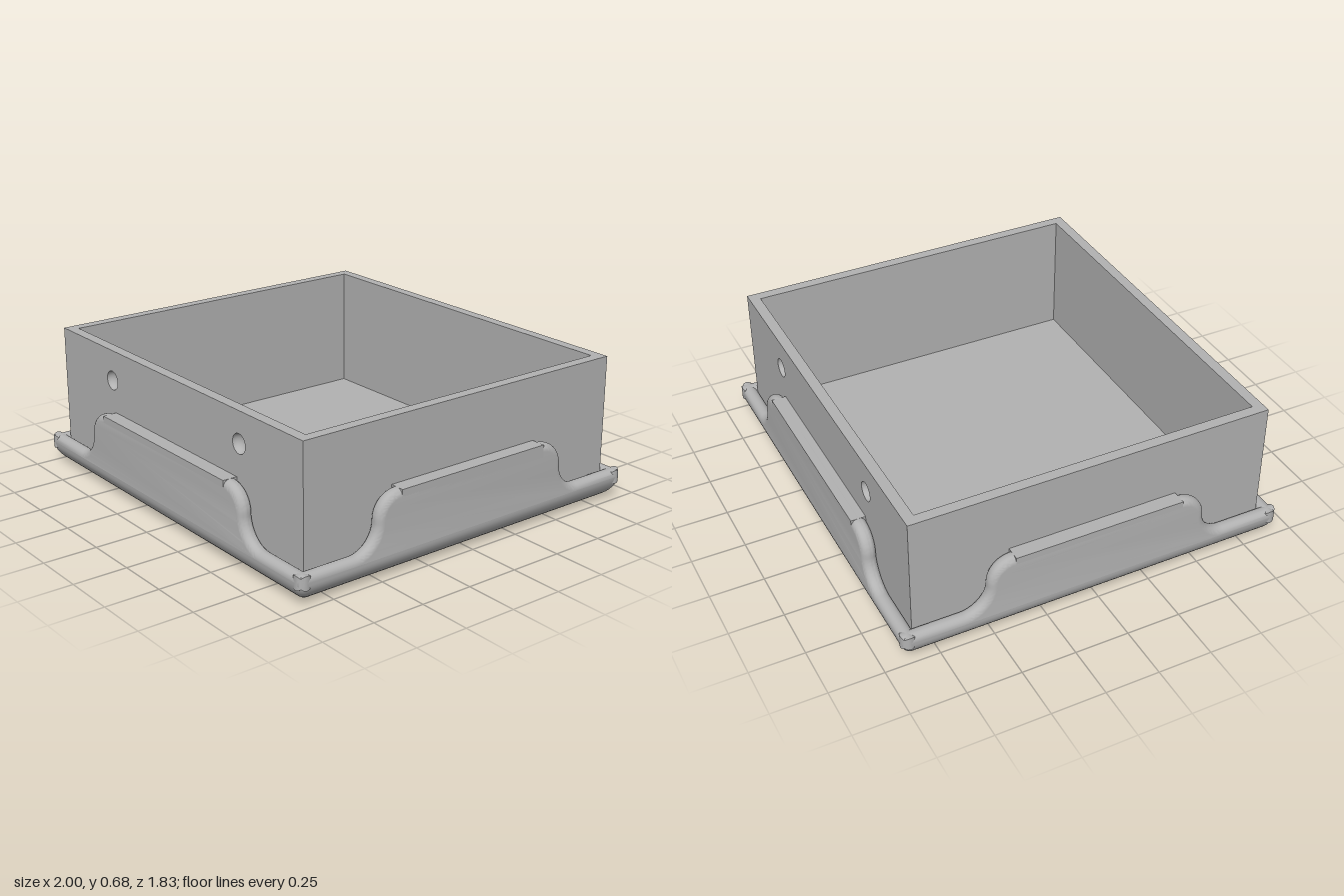
import * as THREE from 'three';
import { toCreasedNormals } from 'three/addons/utils/BufferGeometryUtils.js';

const HX = 1, HZ = 0.915;          // outer half sizes of the tray
const T = 0.068, R = 0.032;        // lip thickness and edge rounding
const BX = HX - T, BZ = HZ - T;    // outer half sizes of the box
const LOW = 0.14, HIGH = 0.38, TOP = 0.675, FLOOR = 0.09, RIM = LOW - R;

const grey = new THREE.MeshStandardMaterial({ color: 0xb2b2b2, side: THREE.DoubleSide });
grey.name = 'grey';

function add(parent, name, geometry) {
  const mesh = new THREE.Mesh(geometry, grey);
  mesh.name = name;
  parent.add(mesh);
  return mesh;
}

function block(parent, name, w, h, d, x, y, z) {
  add(parent, name, new THREE.BoxGeometry(w, h, d)).position.set(x, y, z);
}

// Rounded rectangle at height y, running around the vertical axis
function loop(hx, hz, r, y) {
  const pts = [], n = 6;
  [[1, 1], [-1, 1], [-1, -1], [1, -1]].forEach(([sx, sz], q) => {
    for (let i = 0; i <= n; i++) {
      const a = (q + i / n) * Math.PI / 2;
      pts.push([sx * (hx - r) + r * Math.cos(a), y, sz * (hz - r) + r * Math.sin(a)]);
    }
  });
  return pts;
}

// Tray: flat bottom, rounded lower edge, narrow rim on top
function trayGeometry() {
  const loops = [], steps = 12, inset = 0.12;
  for (let i = 0; i <= steps; i++) {
    const a = i / steps * Math.PI / 2, d = inset * (1 - Math.sin(a));
    loops.push(loop(HX - d, HZ - d, 0.01 + 0.025 * i / steps, RIM * (1 - Math.cos(a))));
  }
  loops.push(loop(BX - 0.02, BZ - 0.02, 0.01, RIM));
  const n = loops[0].length, index = [];
  for (let j = 0; j < loops.length - 1; j++) {
    for (let i = 0; i < n; i++) {
      const k = (i + 1) % n, a = j * n, b = a + n;
      index.push(a + i, b + i, a + k, a + k, b + i, b + k);
    }
  }
  const center = loops.length * n;
  for (let i = 0; i < n; i++) index.push(center, i, (i + 1) % n);
  const g = new THREE.BufferGeometry();
  g.setAttribute('position', new THREE.Float32BufferAttribute([...loops.flat(2), 0, 0, 0], 3));
  g.setIndex(index);
  return toCreasedNormals(g, 0.6);
}

// Lip: low round-edged rail rising in S curves to a flat-topped middle
function makeLip(name, half, out, flat) {
  const lip = new THREE.Group();
  lip.name = name;
  const r = (HIGH - LOW) / 2, mid = LOW + r, far = flat + 2 * r, P = Math.PI;
  const s = new THREE.Shape();
  s.moveTo(-half, LOW - 2 * R);
  s.lineTo(half, LOW - 2 * R);
  s.lineTo(half, LOW);
  s.lineTo(far, LOW);
  s.absarc(far, mid, r, -P / 2, -P, true);
  s.absarc(flat, mid, r, 0, P / 2, false);
  s.lineTo(-flat, HIGH);
  s.absarc(-flat, mid, r, P / 2, P, false);
  s.absarc(-far, mid, r, 0, -P / 2, true);
  s.lineTo(-half, LOW);
  s.closePath();
  const g = new THREE.ExtrudeGeometry(s, {
    depth: T - 2 * R, curveSegments: 12, bevelEnabled: true,
    bevelThickness: R, bevelSize: R, bevelOffset: -R, bevelSegments: 6,
  });
  g.translate(0, 0, out - T + R);
  add(lip, 'lipRail', toCreasedNormals(g, 0.6));
  block(lip, 'lipFlatTop', 2 * flat, 0.06, T, 0, HIGH - 0.03, out - T / 2);
  return lip;
}

// Long box wall with two round dimples on its outer face
function makeDimpledWall(name) {
  const wall = new THREE.Group();
  wall.name = name;
  const radius = 0.045, depth = 0.037, y = 0.53, bottom = 0.06;
  const s = new THREE.Shape();
  s.moveTo(-BX, bottom);
  s.lineTo(BX, bottom);
  s.lineTo(BX, TOP);
  s.lineTo(-BX, TOP);
  s.closePath();
  const profile = [];
  for (let i = 0; i <= 8; i++) {
    const a = i / 8 * Math.PI / 2;
    profile.push(new THREE.Vector2(radius * Math.cos(a), -depth * Math.sin(a)));
  }
  for (const x of [-0.5, 0.5]) {
    s.holes.push(new THREE.Path().absarc(x, y, radius, 0, Math.PI * 2, true));
    const dimple = add(wall, 'dimple', new THREE.LatheGeometry(profile, 24));
    dimple.rotation.x = Math.PI / 2;
    dimple.position.set(x, y, BZ);
  }
  const g = new THREE.ExtrudeGeometry(s, { depth: 0.04, bevelEnabled: false, curveSegments: 12 });
  add(wall, 'wallOuterLayer', g.translate(0, 0, BZ - 0.04));
  block(wall, 'wallInnerLayer', 2 * BX, TOP - bottom, 0.01, 0, (TOP + bottom) / 2, BZ - 0.045);
  return wall;
}

export function createModel() {
  const model = new THREE.Group();
  model.name = 'openBoxOnTray';
  add(model, 'tray', trayGeometry());
  block(model, 'boxFloor', 2 * BX - 0.06, 0.04, 2 * BZ - 0.06, 0, FLOOR - 0.02, 0);

  // Front and back
  for (const [side, angle] of [['front', 0], ['back', Math.PI]]) {
    const wall = makeDimpledWall(side + 'Wall');
    const lip = makeLip(side + 'Lip', HX, HZ, 0.48);
    wall.rotation.y = lip.rotation.y = angle;
    model.add(wall, lip);
  }

  // Left and right
  for (const [side, sign] of [['left', 1], ['right', -1]]) {
    block(model, side + 'Wall', 0.05, TOP - 0.06, 2 * BZ - 0.1, sign * (BX - 0.025), (TOP + 0.06) / 2, 0);
    const lip = makeLip(side + 'Lip', HZ, HX, 0.4);
    lip.rotation.y = sign * Math.PI / 2;
    model.add(lip);
  }
  return model;
}
